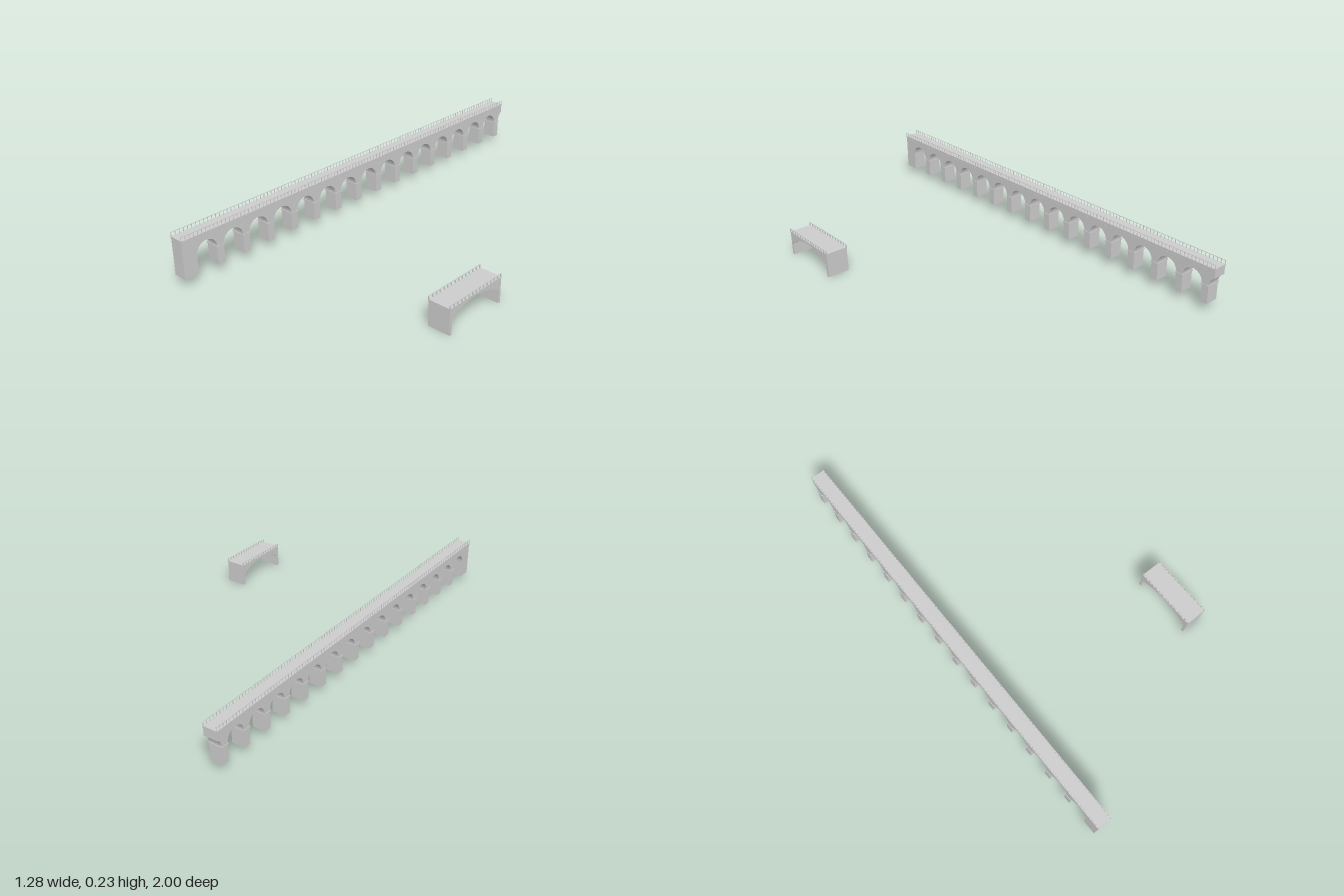
import * as THREE from 'three';
import { mergeGeometries } from 'three/addons/utils/BufferGeometryUtils.js';

const stone = new THREE.MeshStandardMaterial({ color: 0xcccccc, flatShading: true });
const HEADING = 1.192; // both bridges run along the same diagonal

function addMesh(parent, name, geometry) {
  const mesh = new THREE.Mesh(geometry, stone);
  mesh.name = name;
  parent.add(mesh);
  return mesh;
}

// Box given by centre x, bottom y, centre z and sizes
function box(x, y, z, w, h, d) {
  return new THREE.BoxGeometry(w, h, d).translate(x, y + h / 2, z);
}

// Side profile extruded across the bridge, centred on z = 0
function extrudeAcross(shape, width) {
  return new THREE.ExtrudeGeometry(shape, { depth: width, bevelEnabled: false, curveSegments: 20 })
    .translate(0, 0, -width / 2);
}

// Posts with a thin handrail along both edges
function addRailings(parent, length, y, offset, count, height, post) {
  for (const side of [-1, 1]) {
    const parts = [box(0, y + height - 0.002, side * offset, length, 0.002, post * 0.7)];
    for (let i = 0; i < count; i++) {
      const x = -length / 2 + post / 2 + (i * (length - post)) / (count - 1);
      parts.push(box(x, y, side * offset, post, height, post));
    }
    addMesh(parent, side > 0 ? 'rightRailing' : 'leftRailing', mergeGeometries(parts));
  }
}

function createViaduct() {
  const group = new THREE.Group();
  group.name = 'viaduct';
  const half = 1.06, base = 0.04, spring = 0.127, top = 0.206;
  const step = 0.135, pier = 0.035, r = (step - pier) / 2, width = 0.065, count = 15;
  const firstPier = 1.016 - (count - 1) * step;

  // Abutment, piers, arches and a broken-off last arch in one profile
  const shape = new THREE.Shape();
  shape.moveTo(-half, top);
  shape.lineTo(-half, base);
  shape.lineTo(firstPier - step + pier / 2, base);
  const imposts = [];
  for (let i = 0; i < count; i++) {
    const x = firstPier + i * step;
    shape.lineTo(x - step + pier / 2, spring);
    shape.absarc(x - step / 2, spring, r, Math.PI, 0, true);
    shape.lineTo(x - pier / 2, base);
    shape.lineTo(x + pier / 2, base);
    imposts.push(box(x, spring - 0.007, 0, pier + 0.005, 0.007, width + 0.005));
  }
  const lastX = firstPier + (count - 1) * step + pier / 2;
  shape.lineTo(lastX, spring);
  shape.absarc(lastX + r, spring, r, Math.PI, Math.acos((half - lastX - r) / r), true);
  shape.lineTo(half, top);
  addMesh(group, 'arcade', extrudeAcross(shape, width));
  addMesh(group, 'imposts', mergeGeometries(imposts));

  // Deck slab over a row of small corbels
  addMesh(group, 'deck', box(0, top, 0, half * 2, 0.01, 0.072));
  const corbels = [];
  for (let i = 0; i < 157; i++) {
    corbels.push(box(-half + 0.007 + i * step / 10, top - 0.007, 0, 0.006, 0.007, 0.07));
  }
  addMesh(group, 'corbels', mergeGeometries(corbels));

  addRailings(group, half * 2, 0.216, 0.033, 107, 0.019, 0.0022);
  group.position.x = -0.215;
  group.rotation.y = HEADING;
  return group;
}

function createFootbridge() {
  const group = new THREE.Group();
  group.name = 'smallBridge';
  const half = 0.157, inner = 0.144, spring = 0.058, rise = 0.047, top = 0.11, width = 0.104;

  // Two thin abutments joined by one shallow arch
  const radius = (inner * inner + rise * rise) / (2 * rise);
  const angle = Math.asin(inner / radius);
  const shape = new THREE.Shape();
  shape.moveTo(-half, top);
  shape.lineTo(-half, 0);
  shape.lineTo(-inner, 0);
  shape.lineTo(-inner, spring);
  shape.absarc(0, spring + rise - radius, radius, Math.PI / 2 + angle, Math.PI / 2 - angle, true);
  shape.lineTo(inner, 0);
  shape.lineTo(half, 0);
  shape.lineTo(half, top);
  addMesh(group, 'arch', extrudeAcross(shape, width));
  addMesh(group, 'deck', box(0, top, 0, half * 2, 0.006, 0.107));

  addRailings(group, half * 2, 0.116, 0.0515, 15, 0.015, 0.004);
  group.position.set(0.53, 0, 0.783);
  group.rotation.y = HEADING;
  return group;
}

export function createModel() {
  const model = new THREE.Group();
  model.name = 'bridges';
  model.add(createViaduct(), createFootbridge());
  return model;
}
